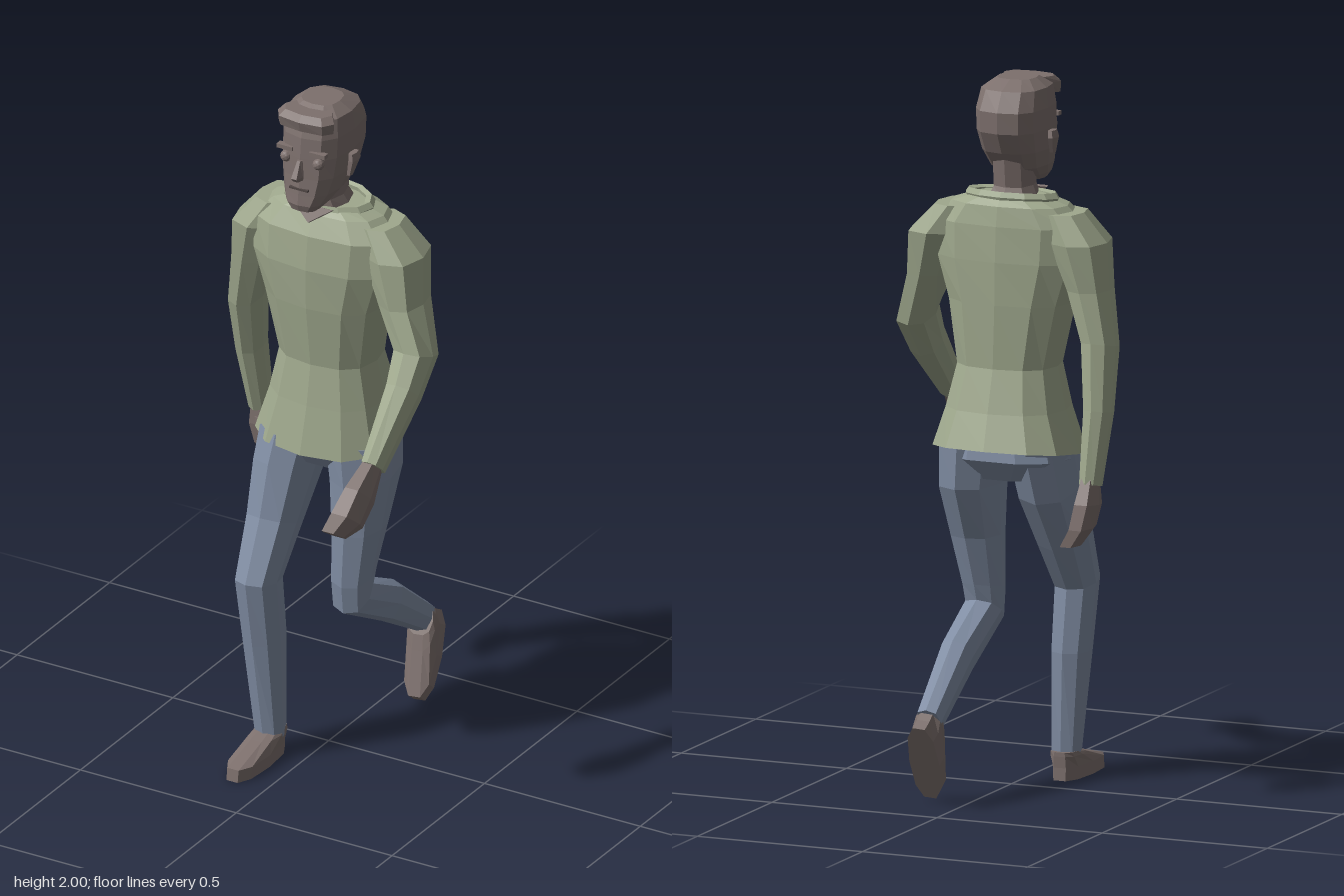
import * as THREE from 'three';

const skin = new THREE.MeshStandardMaterial({ color: 0x7d706d });
skin.name = 'skin';
const sweater = new THREE.MeshStandardMaterial({ color: 0x9fa88d });
sweater.name = 'sage sweater';
const denim = new THREE.MeshStandardMaterial({ color: 0x808da3 });
denim.name = 'blue denim';
const dark = new THREE.MeshStandardMaterial({ color: 0x514846 });
dark.name = 'dark brown';

// Faceted mesh from any geometry
function facet(name, material, geometry) {
  const g = geometry.index ? geometry.toNonIndexed() : geometry;
  g.computeVertexNormals();
  const mesh = new THREE.Mesh(g, material);
  mesh.name = name;
  return mesh;
}

// Closed skin over rings listed top to bottom: [x, y, z, halfWidth, halfDepth, pitch]
function loft(name, material, rings, sides = 8, power = 0.78) {
  const pos = [], idx = [];
  const soft = v => Math.sign(v) * Math.pow(Math.abs(v), power);
  rings.forEach(([x, y, z, rx, rd, pitch = 0]) => {
    for (let i = 0; i < sides; i++) {
      const a = (i / sides) * Math.PI * 2;
      const d = soft(Math.sin(a)) * rd;
      pos.push(x + soft(Math.cos(a)) * rx, y - d * Math.sin(pitch), z + d * Math.cos(pitch));
    }
  });
  const last = rings.length - 1, top = rings.length * sides;
  pos.push(...rings[0].slice(0, 3), ...rings[last].slice(0, 3));
  for (let i = 0; i < sides; i++) {
    const j = (i + 1) % sides;
    for (let r = 0; r < last; r++) {
      const a = r * sides + i, b = r * sides + j;
      idx.push(a, b, a + sides, b, b + sides, a + sides);
    }
    idx.push(top, j, i, top + 1, last * sides + i, last * sides + j);
  }
  const g = new THREE.BufferGeometry();
  g.setAttribute('position', new THREE.Float32BufferAttribute(pos, 3));
  g.setIndex(idx);
  return facet(name, material, g);
}

// Head ring given by its front and back z
const headRing = (y, front, back, rx) => [0, y, (front + back) / 2, rx, (front - back) / 2];

function createHead() {
  const head = new THREE.Group();
  head.name = 'head';
  head.position.x = -0.022;
  head.add(loft('skull', skin, [
    headRing(2.0, 0.05, -0.06, 0.055),
    headRing(1.975, 0.095, -0.115, 0.09),
    headRing(1.92, 0.112, -0.147, 0.097),
    headRing(1.86, 0.118, -0.145, 0.096),
    headRing(1.8, 0.122, -0.115, 0.09),
    headRing(1.75, 0.128, -0.075, 0.077),
    headRing(1.72, 0.132, -0.01, 0.06),
    headRing(1.7, 0.125, 0.04, 0.042),
  ], 12, 0.75));
  head.add(loft('neck', skin, [
    [0, 1.79, -0.03, 0.055, 0.07],
    [0, 1.7, -0.025, 0.055, 0.065],
    [0, 1.66, -0.035, 0.075, 0.075],
  ]));
  // Swept fringe
  head.add(loft('fringe', skin, [
    [0, 1.992, 0.07, 0.075, 0.04],
    [0, 1.975, 0.085, 0.09, 0.042],
    [0, 1.945, 0.085, 0.088, 0.034],
  ]));
  head.add(loft('nose', skin, [
    [0, 1.855, 0.118, 0.008, 0.008],
    [0, 1.81, 0.13, 0.015, 0.025],
    [0, 1.798, 0.125, 0.013, 0.02],
  ], 6));
  for (const s of [-1, 1]) {
    head.add(loft('ear', skin, [
      [s * 0.102, 1.855, 0.0, 0.01, 0.02],
      [s * 0.105, 1.835, 0.0, 0.012, 0.025],
      [s * 0.098, 1.79, 0.012, 0.008, 0.012],
    ], 6));
    const eye = facet('eye', skin, new THREE.IcosahedronGeometry(0.017, 1));
    eye.position.set(s * 0.052, 1.85, 0.105);
    head.add(eye);
    const brow = facet('brow', skin, new THREE.BoxGeometry(0.05, 0.012, 0.02));
    brow.position.set(s * 0.052, 1.88, 0.106);
    head.add(brow);
  }
  const mouth = facet('mouth', dark, new THREE.BoxGeometry(0.06, 0.006, 0.009));
  mouth.position.set(0, 1.768, 0.123);
  head.add(mouth);
  return head;
}

function createTorso() {
  const torso = new THREE.Group();
  torso.name = 'torso';
  torso.add(loft('sweaterBody', sweater, [
    [-0.02, 1.675, -0.045, 0.11, 0.075],
    [-0.02, 1.655, -0.045, 0.17, 0.095],
    [-0.02, 1.6, -0.035, 0.225, 0.115],
    [-0.02, 1.5, -0.032, 0.22, 0.125],
    [-0.02, 1.38, -0.035, 0.18, 0.125],
    [-0.015, 1.2, -0.043, 0.145, 0.117],
    [-0.015, 1.08, -0.05, 0.172, 0.145],
    [-0.02, 0.96, -0.055, 0.21, 0.18, 0.12],
  ], 12));
  const collar = facet('collar', sweater, new THREE.TorusGeometry(0.125, 0.016, 5, 12).rotateX(Math.PI / 2).scale(1, 1, 0.6));
  collar.position.set(-0.022, 1.672, -0.043);
  collar.rotation.x = 0.08;
  torso.add(collar);
  // Skin showing in the neckline
  const vee = new THREE.Shape([[-0.065, 0], [0, -0.05], [0.065, 0]].map(p => new THREE.Vector2(...p)));
  const neckline = facet('neckline', skin, new THREE.ExtrudeGeometry(vee, { depth: 0.008, bevelEnabled: false }));
  neckline.position.set(-0.022, 1.682, 0.045);
  neckline.rotation.x = -0.5;
  torso.add(neckline);
  return torso;
}

// Shoe with its ankle over the origin and its toe along +z
function createShoe(name) {
  const shoe = loft(name, skin, [
    [0, 0.08, 0, 0.038, 0.043],
    [0, 0.068, 0.022, 0.043, 0.066],
    [0, 0.036, 0.086, 0.046, 0.13],
    [0, 0, 0.088, 0.045, 0.133],
  ], 10);
  return shoe;
}

export function createModel() {
  const man = new THREE.Group();
  man.name = 'walkingMan';
  man.add(createHead(), createTorso());

  // Left arm swings forward, right arm swings back
  man.add(loft('leftSleeve', sweater, [
    [0.14, 1.64, -0.045, 0.06, 0.075],
    [0.195, 1.56, -0.04, 0.085, 0.1],
    [0.235, 1.43, -0.015, 0.06, 0.085],
    [0.295, 1.3, 0.025, 0.055, 0.072, -0.35],
    [0.3, 1.21, 0.1, 0.047, 0.06, -0.75],
    [0.3, 1.05, 0.265, 0.03, 0.045, -0.75],
  ]));
  man.add(loft('leftHand', skin, [
    [0.297, 1.06, 0.255, 0.025, 0.035, -0.75],
    [0.295, 0.99, 0.33, 0.036, 0.066, -0.75],
    [0.287, 0.935, 0.385, 0.042, 0.064, -0.7],
    [0.265, 0.9, 0.42, 0.032, 0.045, -0.6],
  ], 6));
  man.add(loft('leftThumb', skin, [
    [0.275, 1.0, 0.33, 0.018, 0.025, -0.6],
    [0.26, 0.94, 0.35, 0.018, 0.022, -0.5],
    [0.25, 0.9, 0.37, 0.012, 0.015, -0.5],
  ], 6));
  man.add(loft('rightSleeve', sweater, [
    [-0.18, 1.64, -0.045, 0.06, 0.075],
    [-0.23, 1.56, -0.045, 0.08, 0.1],
    [-0.265, 1.43, -0.055, 0.058, 0.08],
    [-0.305, 1.28, -0.08, 0.047, 0.068, 0.2],
    [-0.318, 1.1, -0.12, 0.038, 0.053, 0.2],
    [-0.312, 0.9, -0.16, 0.028, 0.042, 0.2],
  ]));
  man.add(loft('rightHand', skin, [
    [-0.312, 0.92, -0.16, 0.024, 0.035, 0.2],
    [-0.312, 0.85, -0.178, 0.033, 0.058, 0.1],
    [-0.3, 0.785, -0.188, 0.032, 0.06],
    [-0.27, 0.735, -0.195, 0.028, 0.05],
  ], 6));
  man.add(loft('rightThumb', skin, [
    [-0.3, 0.87, -0.145, 0.018, 0.025],
    [-0.28, 0.8, -0.135, 0.018, 0.022],
    [-0.262, 0.755, -0.14, 0.012, 0.015],
  ], 6));

  // Jeans
  man.add(loft('hips', denim, [
    [-0.012, 1.02, -0.04, 0.165, 0.12],
    [-0.012, 0.94, -0.038, 0.185, 0.135],
    [-0.012, 0.88, -0.035, 0.1, 0.09],
  ], 10));
  man.add(loft('rightTrouserLeg', denim, [
    [-0.11, 0.97, -0.025, 0.088, 0.13],
    [-0.118, 0.85, 0.015, 0.083, 0.12, -0.3],
    [-0.123, 0.7, 0.085, 0.07, 0.088, -0.4],
    [-0.122, 0.55, 0.172, 0.057, 0.075, -0.15],
    [-0.115, 0.36, 0.152, 0.052, 0.068],
    [-0.103, 0.06, 0.14, 0.041, 0.041],
  ]));
  man.add(loft('leftTrouserLeg', denim, [
    [0.09, 0.97, -0.04, 0.088, 0.13],
    [0.1, 0.85, -0.035, 0.08, 0.125],
    [0.1, 0.7, -0.002, 0.068, 0.09],
    [0.09, 0.55, 0.015, 0.055, 0.07, 0.2],
    [0.088, 0.485, 0.015, 0.052, 0.065, 0.55],
    [0.087, 0.385, -0.17, 0.046, 0.06, 1.0],
    [0.08, 0.24, -0.375, 0.036, 0.043, 1.0],
  ]));

  // Right shoe planted, left shoe lifted on the toe
  const rightShoe = createShoe('rightShoe');
  rightShoe.position.set(-0.105, 0, 0.13);
  const leftShoe = createShoe('leftShoe');
  leftShoe.position.set(0.084, 0.198, -0.425);
  leftShoe.rotation.set(1.04, 0.09, 0);
  man.add(rightShoe, leftShoe);
  return man;
}
